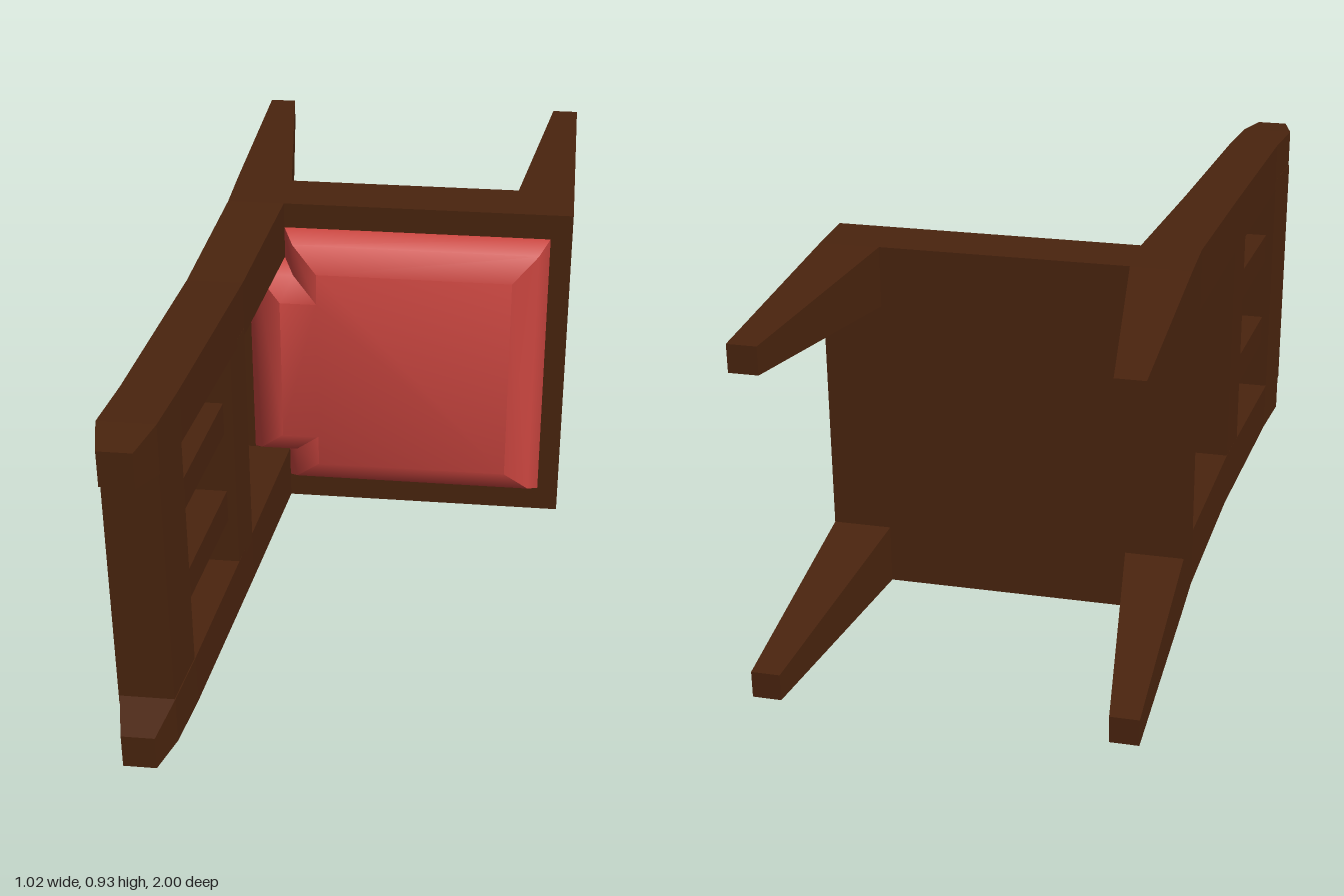
import * as THREE from 'three';
import { toCreasedNormals } from 'three/addons/utils/BufferGeometryUtils.js';

const W = 0.927; // chair width along y; the chair lies on its side, its seat facing +z

// Skin a stack of equal-length outlines, each { z, pts: [[x, y], ...] }, z rising, counter-clockwise
function loft(sections) {
  const pos = [];
  const put = (s, i) => pos.push(s.pts[i][0], s.pts[i][1], s.z);
  const n = sections[0].pts.length;
  for (let k = 0; k < sections.length - 1; k++) {
    const a = sections[k], b = sections[k + 1];
    for (let i = 0; i < n; i++) {
      const j = (i + 1) % n;
      put(a, i); put(a, j); put(b, j);
      put(a, i); put(b, j); put(b, i);
    }
  }
  const cap = (s, flip) => {
    const v = s.pts.map(([x, y]) => new THREE.Vector2(x, y));
    for (const [p, q, r] of THREE.ShapeUtils.triangulateShape(v, [])) {
      put(s, p); put(s, flip ? r : q); put(s, flip ? q : r);
    }
  };
  cap(sections[0], true);
  cap(sections[sections.length - 1], false);
  const g = new THREE.BufferGeometry();
  g.setAttribute('position', new THREE.Float32BufferAttribute(pos, 3));
  g.computeVertexNormals();
  return g;
}

// Rectangular beam from rows [z, x0, x1, y0, y1]
const beam = (rows) => loft(rows.map(([z, x0, x1, y0, y1]) => (
  { z, pts: [[x0, y0], [x1, y0], [x1, y1], [x0, y1]] })));
const mirrorRows = (rows) => rows.map(([z, x0, x1, y0, y1]) => [z, x0, x1, W - y1, W - y0]);

export function createModel() {
  const group = new THREE.Group();
  const wood = new THREE.MeshStandardMaterial({ color: 0x4a240e });
  wood.name = 'dark wood';
  const fabric = new THREE.MeshStandardMaterial({ color: 0xcc4640 });
  fabric.name = 'red fabric';
  const add = (name, geometry, material = wood) => {
    const mesh = new THREE.Mesh(geometry, material);
    mesh.name = name;
    group.add(mesh);
  };
  const addPair = (name, rows) => {
    add(name + 'A', beam(rows));
    add(name + 'B', beam(mirrorRows(rows)));
  };

  // Seat slab
  add('seat', beam([[-0.38, -0.41, 0.51, 0, W], [-0.23, -0.41, 0.51, 0, W]]));

  // Tapered legs
  addPair('frontLeg', [[-1, 0.44, 0.51, 0.015, 0.083], [-0.38, 0.36, 0.51, 0, 0.155]]);
  addPair('backLeg', [[-1, -0.41, -0.34, 0.015, 0.083], [-0.38, -0.41, -0.26, 0, 0.155]]);

  // Leaning back posts with chamfered tips
  addPair('backPost', [
    [-0.23, -0.41, -0.26, 0, 0.157],
    [0.21, -0.438, -0.298, 0.016, 0.162],
    [0.74, -0.487, -0.353, 0.016, 0.152],
    [0.89, -0.508, -0.373, 0.018, 0.145],
    [1, -0.483, -0.402, 0.025, 0.115],
  ]);

  // Back rails
  add('lowerRail', beam([[0.215, -0.438, -0.298, 0.14, W - 0.14], [0.34, -0.45, -0.312, 0.14, W - 0.14]]));
  add('topRail', beam([[0.74, -0.487, -0.355, 0.12, W - 0.12], [0.89, -0.51, -0.375, 0.12, W - 0.12]]));

  // Slats between the rails
  addPair('slat', [[0.33, -0.43, -0.335, 0.288, 0.378], [0.75, -0.467, -0.375, 0.292, 0.376]]);

  // Cushion notched around the posts, its outline drawn in by d at each level
  const outline = (d) => [
    [-0.36 + d, 0.16 + d], [-0.26 + d, 0.16 + d], [-0.26 + d, 0.07 + d], [0.453 - d, 0.07 + d],
    [0.453 - d, W - 0.07 - d], [-0.26 + d, W - 0.07 - d], [-0.26 + d, W - 0.16 - d], [-0.36 + d, W - 0.16 - d],
  ];
  const cushion = loft([[-0.24, 0], [-0.23, 0], [-0.18, 0.028], [-0.143, 0.095]].map(([z, d]) => ({ z, pts: outline(d) })));
  add('cushion', toCreasedNormals(cushion, 0.62), fabric);

  return group;
}
